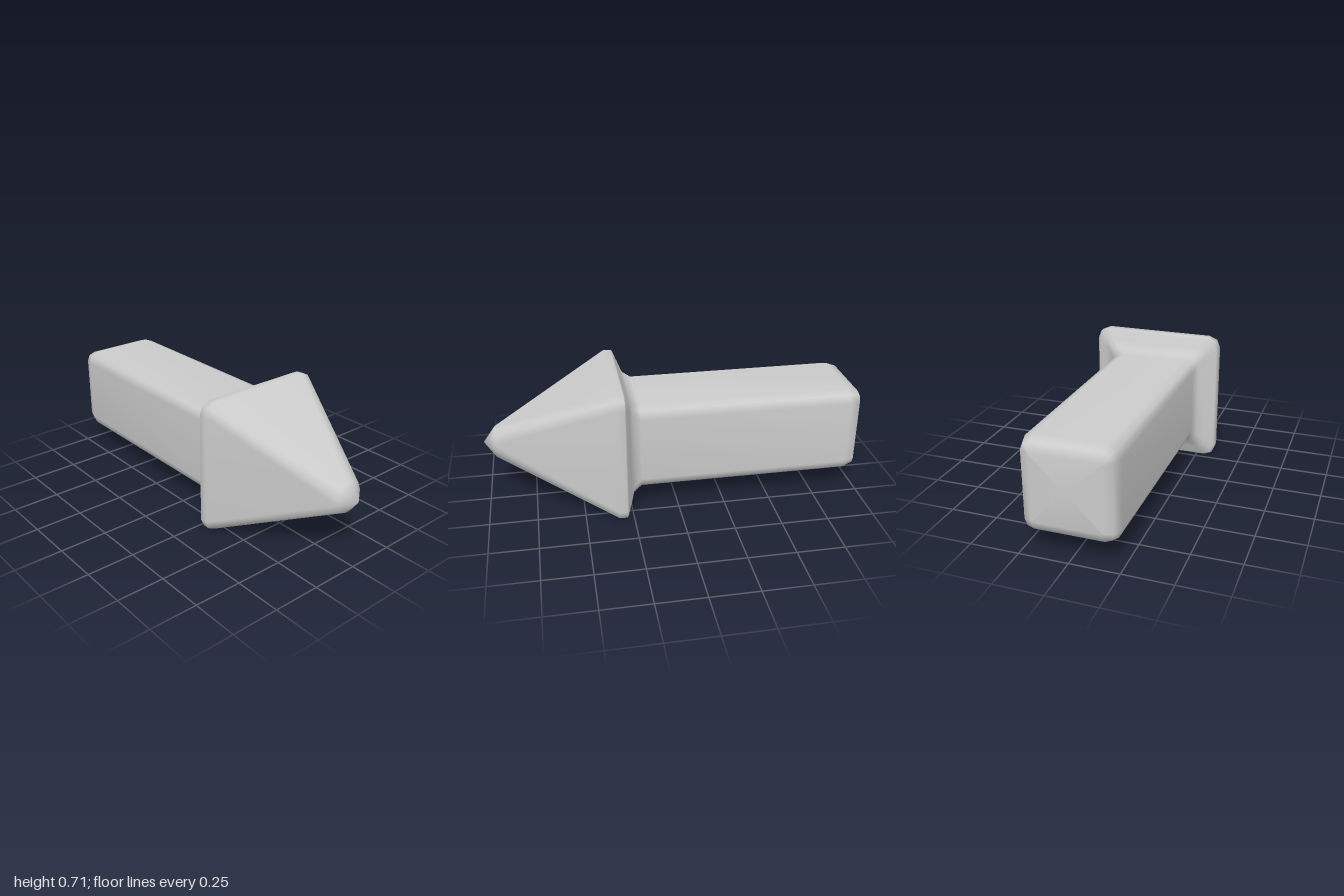
import * as THREE from 'three';

const CENTER_Y = 0.354;
const CORNER_STEPS = 2;

// Square ring with rounded corners, counter-clockwise seen from +z
function ring(z, half, radius) {
  const points = [];
  for (let c = 0; c < 4; c++) {
    const mid = Math.PI / 4 + c * Math.PI / 2;
    const cx = Math.sign(Math.cos(mid)) * (half - radius);
    const cy = Math.sign(Math.sin(mid)) * (half - radius);
    for (let s = 0; s <= CORNER_STEPS; s++) {
      const a = (c + s / CORNER_STEPS) * Math.PI / 2;
      points.push([cx + radius * Math.cos(a), CENTER_Y + cy + radius * Math.sin(a), z]);
    }
  }
  return points;
}

// Smooth skin through rings ordered from back to front, with optional end points
function loft(sections, backZ, frontZ) {
  const rings = sections.map(([z, half, radius]) => ring(z, half, radius));
  const n = rings[0].length;
  const positions = rings.flat(2);
  const index = [];
  for (let i = 0; i < rings.length - 1; i++) {
    for (let j = 0; j < n; j++) {
      const k = (j + 1) % n;
      const a = i * n + j, b = i * n + k, c = a + n, d = b + n;
      index.push(a, b, d, a, d, c);
    }
  }
  const cap = (z, start, flip) => {
    const tip = positions.length / 3;
    positions.push(0, CENTER_Y, z);
    for (let j = 0; j < n; j++) {
      const a = start + j, b = start + (j + 1) % n;
      if (flip) index.push(tip, b, a);
      else index.push(tip, a, b);
    }
  };
  if (backZ !== undefined) cap(backZ, 0, true);
  if (frontZ !== undefined) cap(frontZ, (rings.length - 1) * n, false);
  const geometry = new THREE.BufferGeometry();
  geometry.setAttribute('position', new THREE.Float32BufferAttribute(positions, 3));
  geometry.setIndex(index);
  geometry.computeVertexNormals();
  return geometry;
}

export function createModel() {
  const group = new THREE.Group();
  group.name = 'squareArrow';
  const material = new THREE.MeshStandardMaterial({ color: 0xcccccc });
  const add = (name, geometry) => {
    const mesh = new THREE.Mesh(geometry, material);
    mesh.name = name;
    group.add(mesh);
  };

  // Square bar with a bevelled back end, widening into a collar
  add('shaft', loft([
    [-1, 0.172, 0.006],
    [-0.98, 0.217, 0.045],
    [-0.925, 0.236, 0.062],
    [0.195, 0.236, 0.062],
    [0.24, 0.255, 0.045],
    [0.262, 0.305, 0.04],
  ], -1));

  // Pyramid head with a rounded rim and a blunt tip
  add('head', loft([
    [0.24, 0.255, 0.045],
    [0.28, 0.344, 0.055],
    [0.288, 0.354, 0.062],
    [0.328, 0.354, 0.062],
    [0.94, 0.077, 0.06],
  ], undefined, 1));

  return group;
}
